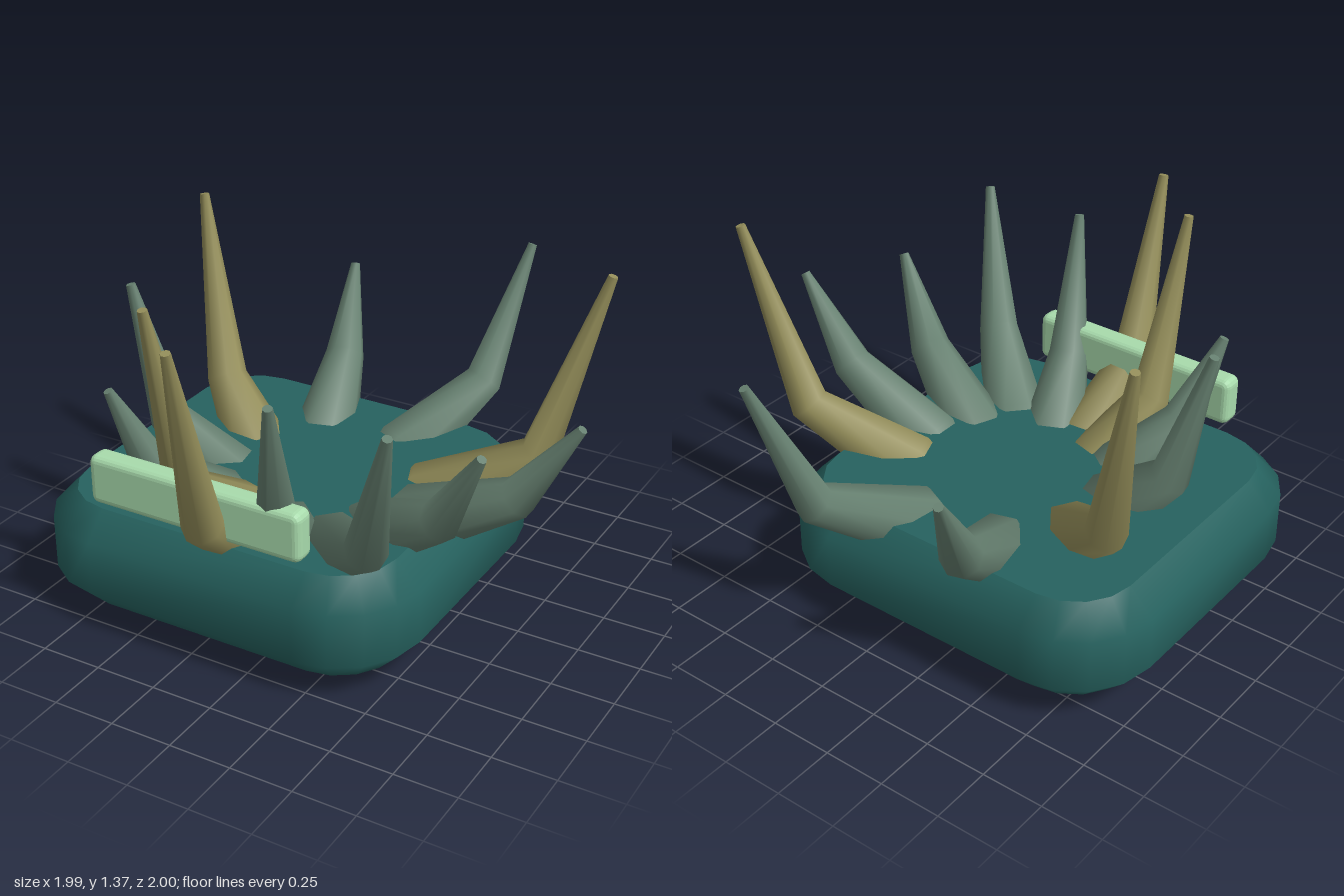
import * as THREE from 'three';

const material = (name, color, side = THREE.FrontSide) => {
  const m = new THREE.MeshStandardMaterial({ color, side });
  m.name = name;
  return m;
};

// Joins closed loops of points into a smooth skin with flat, sharp-edged caps.
// Loops run so that (loop direction) x (stacking direction) faces outward.
function loft(loops) {
  const n = loops[0].length;
  const pos = [];
  const index = [];
  loops.forEach(loop => loop.forEach(p => pos.push(p.x, p.y, p.z)));
  for (let i = 0; i < loops.length - 1; i++) {
    for (let j = 0; j < n; j++) {
      const k = (j + 1) % n;
      const a = i * n + j, b = i * n + k;
      index.push(a, b, b + n, a, b + n, a + n);
    }
  }
  [loops[0], loops[loops.length - 1]].forEach((loop, end) => {
    const start = pos.length / 3;
    loop.forEach(p => pos.push(p.x, p.y, p.z));
    for (let j = 1; j < n - 1; j++) {
      if (end) index.push(start, start + j, start + j + 1);
      else index.push(start, start + j + 1, start + j);
    }
  });
  const g = new THREE.BufferGeometry();
  g.setAttribute('position', new THREE.Float32BufferAttribute(pos, 3));
  g.setIndex(index);
  g.computeVertexNormals();
  return g;
}

// Rounded rectangle loop at height y, shrunk by inset
function roundedLoop(cx, cz, hx, hz, radius, inset, y, segments) {
  const points = [];
  for (let q = 0; q < 4; q++) {
    const sx = q === 0 || q === 3 ? 1 : -1;
    const sz = q < 2 ? 1 : -1;
    for (let s = 0; s <= segments; s++) {
      const a = (q + s / segments) * Math.PI / 2;
      points.push(new THREE.Vector3(
        cx + sx * (hx - radius) + Math.cos(a) * (radius - inset), y,
        cz + sz * (hz - radius) + Math.sin(a) * (radius - inset)));
    }
  }
  return points.reverse();
}

// Bent leaf: narrow root, wide belly, knee, then a steep tapering point
function leafGeometry(x, y, z) {
  const cx = -0.2, cz = 0.05, sides = 8;
  const length = Math.hypot(x - cx, z - cz);
  const out = new THREE.Vector3(x - cx, 0, z - cz).normalize();
  const up = new THREE.Vector3(0, 1, 0);
  const across = new THREE.Vector3().crossVectors(up, out);
  // fraction of reach, height, radius
  const stations = [[0.1, 0.055, 0.06], [0.45, 0.42, 0.135], [0.8, 0.63, 0.082], [1, y, 0.019]];
  const centres = stations.map(([f, h]) =>
    new THREE.Vector3(cx, h, cz).addScaledVector(out, f * length));
  const loops = stations.map(([, , r], i) => {
    const tangent = new THREE.Vector3();
    if (i > 0) tangent.add(centres[i].clone().sub(centres[i - 1]).normalize());
    if (i < 3) tangent.add(centres[i + 1].clone().sub(centres[i]).normalize());
    tangent.normalize();
    const lift = new THREE.Vector3().crossVectors(tangent, across);
    return Array.from({ length: sides }, (_, j) => {
      const a = (j + 0.5) / sides * Math.PI * 2;
      return centres[i].clone()
        .addScaledVector(across, Math.cos(a) * r)
        .addScaledVector(lift, Math.sin(a) * r);
    });
  });
  return loft(loops);
}

// Bar with softly rounded edges
function barGeometry(w, h, d, r) {
  const x = w / 2 - r, y = h / 2 - r, c = r * 0.8;
  const s = new THREE.Shape();
  s.moveTo(-x, -y - r + c);
  s.lineTo(x, -y - r + c);
  s.quadraticCurveTo(x + r - c, -y - r + c, x + r - c, -y);
  s.lineTo(x + r - c, y);
  s.quadraticCurveTo(x + r - c, y + r - c, x, y + r - c);
  s.lineTo(-x, y + r - c);
  s.quadraticCurveTo(-x - r + c, y + r - c, -x - r + c, y);
  s.lineTo(-x - r + c, -y);
  s.quadraticCurveTo(-x - r + c, -y - r + c, -x, -y - r + c);
  const g = new THREE.ExtrudeGeometry(s, {
    depth: d - 2 * c, bevelEnabled: true, bevelSize: c, bevelThickness: c,
    bevelSegments: 4, curveSegments: 4,
  });
  return g.translate(0, 0, -d / 2 + c);
}

export function createModel() {
  const group = new THREE.Group();
  const teal = material('teal pot', 0x26625f);
  const green = material('grey green leaf', 0x668070);
  const gold = material('olive gold leaf', 0x948e5a);
  const mint = material('mint label', 0xa8dbac);

  const add = (name, geometry, mat) => {
    const mesh = new THREE.Mesh(geometry, mat);
    mesh.name = name;
    group.add(mesh);
    return mesh;
  };

  // Pillow-shaped pot: inset and height of each loop
  const profile = [[0.1, 0.08], [0, 0.18], [0, 0.4], [0.1, 0.505]];
  add('pot', loft(profile.map(([inset, y]) =>
    roundedLoop(-0.215, 0.063, 0.785, 0.747, 0.34, inset, y, 4))), teal);

  // Leaf tips
  const greenTips = [
    [-0.48, 0.97, -0.89], [0.3, 1.18, -0.98], [0.98, 0.97, 0.055], [0.77, 0.97, 0.43],
    [0.61, 1.18, 0.81], [0.16, 1.18, 0.82], [-0.65, 0.97, 0.64], [-0.87, 1.18, 0.18],
  ];
  const goldTips = [
    [0.89, 1.38, -0.37], [-0.13, 1.38, 0.98], [-0.405, 1.38, 0.73], [-0.88, 1.38, -0.355],
  ];
  greenTips.forEach((t, i) => add(`greenLeaf${i + 1}`, leafGeometry(...t), green));
  goldTips.forEach((t, i) => add(`goldLeaf${i + 1}`, leafGeometry(...t), gold));

  // Label bar across the front
  add('labelBar', barGeometry(0.91, 0.2, 0.095, 0.035), mint).position.set(-0.215, 0.655, 0.717);

  return group;
}
